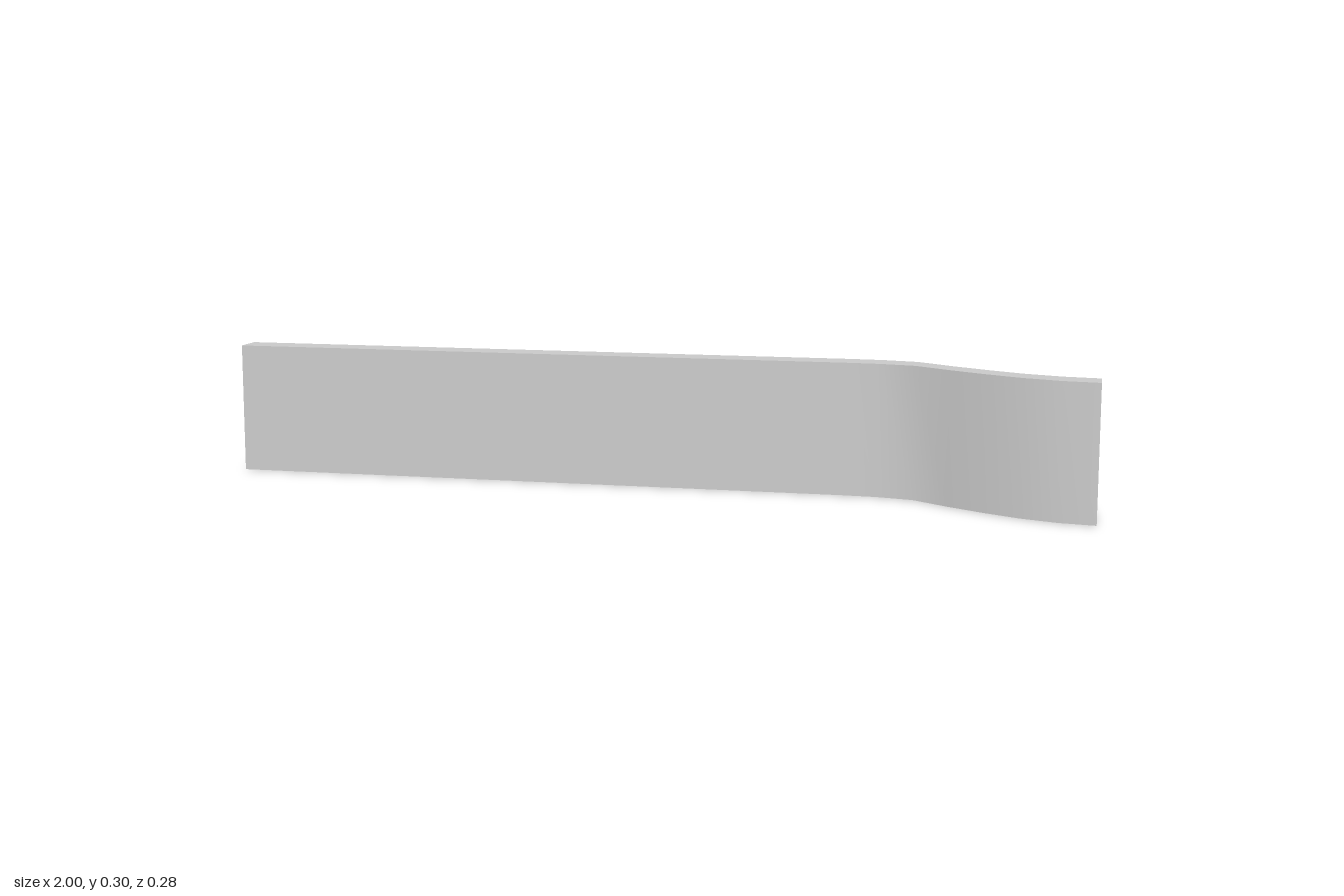
import * as THREE from 'three';
import { toCreasedNormals } from 'three/addons/utils/BufferGeometryUtils.js';

const HEIGHT = 0.3;
const THICKNESS = 0.07;

// Back edge of the strip in plan, as [x, z]
const backEdge = [
  [-1, -0.14], [0.44, -0.14], [0.52, -0.136], [0.6, -0.12],
  [0.68, -0.063], [0.76, -0.013], [0.84, 0.03], [0.92, 0.058], [1, 0.07],
];

export function createModel() {
  const group = new THREE.Group();
  group.name = 'bentStrip';

  // Plan outline: back edge, then the same edge shifted forward and reversed
  const frontEdge = backEdge.map(([x, z]) => [x, z + THICKNESS]).reverse();
  const outline = [...backEdge, ...frontEdge].map(([x, z]) => new THREE.Vector2(x, -z));

  // Extrude the plan upward, keeping the bend smooth and the corners sharp
  const extruded = new THREE.ExtrudeGeometry(new THREE.Shape(outline), {
    depth: HEIGHT, bevelEnabled: false,
  });
  extruded.rotateX(-Math.PI / 2);

  const strip = new THREE.Mesh(
    toCreasedNormals(extruded, 0.6),
    new THREE.MeshStandardMaterial({ color: 0xcccccc }),
  );
  strip.name = 'strip';
  group.add(strip);
  return group;
}
